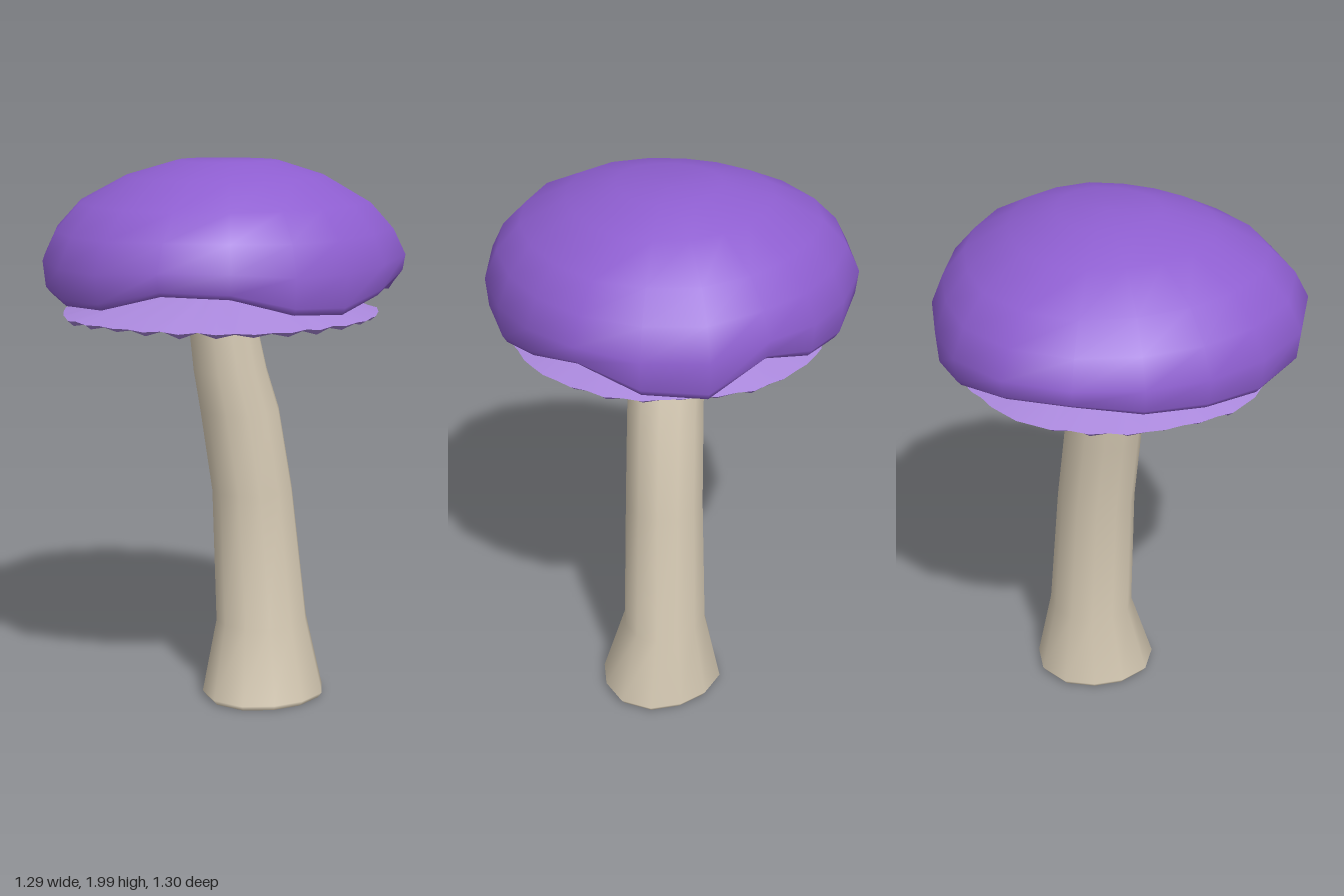
import * as THREE from 'three';

// Skin a list of rings; each ring is a function angle index -> [x, y, z].
// A ring listed twice gives a sharp edge.
function loft(rings, n) {
  const pos = [], index = [];
  for (const ring of rings) {
    for (let i = 0; i < n; i++) pos.push(...ring(i, (i / n) * Math.PI * 2));
  }
  for (let j = 0; j < rings.length - 1; j++) {
    for (let i = 0; i < n; i++) {
      const k = (i + 1) % n;
      const a = j * n + i, b = j * n + k, c = a + n, d = b + n;
      index.push(a, c, b, b, c, d);
    }
  }
  const geo = new THREE.BufferGeometry();
  geo.setAttribute('position', new THREE.Float32BufferAttribute(pos, 3));
  geo.setIndex(index);
  geo.computeVertexNormals();
  return geo;
}

function addPart(group, name, geometry, material) {
  const mesh = new THREE.Mesh(geometry, material);
  mesh.name = name;
  group.add(mesh);
}

function material(name, color) {
  const m = new THREE.MeshStandardMaterial({ color });
  m.name = name;
  return m;
}

// Domed cap: uneven outline and a wavy lower rim, every 20 degrees from +x towards +z
function capGeometry() {
  const radius = [0.64, 0.645, 0.62, 0.615, 0.635, 0.66, 0.69, 0.685, 0.66,
    0.65, 0.655, 0.68, 0.685, 0.66, 0.62, 0.61, 0.615, 0.64];
  const rim = [1.53, 1.61, 1.56, 1.515, 1.53, 1.59, 1.60, 1.54, 1.53,
    1.55, 1.57, 1.61, 1.60, 1.56, 1.515, 1.54, 1.605, 1.51];
  // [radius factor, height, how far the height follows the rim wave]
  const profile = [
    [0, 1.86, 0], [0.45, 1.82, 0], [0.75, 1.73, 0.1], [0.88, 1.63, 0.5], [0.92, 1.565, 1],
    [0.96, 1.555, 1], [0.985, 1.575, 0.9], [1, 1.66, 0.3],
    [0.93, 1.76, 0.1], [0.8, 1.855, 0], [0.55, 1.945, 0], [0.28, 1.998, 0], [0, 2, 0],
  ];
  const rings = profile.map(([f, y, w]) => (i, a) => [
    Math.cos(a) * radius[i] * f + 0.02 * (1 - f),
    y + (rim[i] - 1.56) * w,
    Math.sin(a) * radius[i] * f,
  ]);
  return loft(rings, radius.length);
}

// Shallow cone with a pleated underside
function gillGeometry() {
  const n = 56;
  // [radius, height, pleat depth]
  const profile = [
    [0, 1.465, 0], [0.16, 1.462, 0], [0.36, 1.458, 0.008], [0.545, 1.455, 0.012],
    [0.565, 1.465, 0.004], [0.565, 1.465, 0.004], [0.36, 1.525, 0], [0.16, 1.57, 0], [0, 1.595, 0],
  ];
  const rings = profile.map(([r, y, p]) => (i, a) => {
    const rr = r * (1 + 0.012 * Math.sin(5 * a) + 0.008 * Math.sin(9 * a + 1));
    return [
      -0.02 + Math.cos(a) * rr,
      y + p * (i % 2 ? 1 : -1) * (0.7 + 0.3 * Math.sin(7 * a)),
      0.01 + Math.sin(a) * rr,
    ];
  });
  return loft(rings, n);
}

// Leaning stem with a flared, slightly lobed foot
function stemGeometry() {
  // [height, centre x, centre z, radius x, radius z, lobe strength]
  const profile = [
    [0.01, 0.14, 0.015, 0, 0, 0],
    [0.01, 0.14, 0.015, 0.215, 0.21, 0.04],
    [0.01, 0.14, 0.015, 0.215, 0.21, 0.04],
    [0.03, 0.14, 0.015, 0.23, 0.225, 0.04],
    [0.3, 0.14, 0, 0.172, 0.153, 0.03],
    [0.8, 0.103, 0.005, 0.15, 0.142, 0.02],
    [1.1, 0.055, 0.008, 0.146, 0.139, 0.02],
    [1.25, 0.02, 0.009, 0.135, 0.137, 0.01],
    [1.46, -0.014, 0.01, 0.122, 0.135, 0],
    [1.54, -0.02, 0.01, 0.115, 0.125, 0],
    [1.54, -0.02, 0.01, 0, 0, 0],
  ];
  const rings = profile.map(([y, cx, cz, rx, rz, lobe]) => (i, a) => {
    const k = 1 + lobe * Math.sin(3 * a + 0.6);
    return [cx + Math.cos(a) * rx * k, y, cz + Math.sin(a) * rz * k];
  });
  return loft(rings, 12);
}

export function createModel() {
  const group = new THREE.Group();
  group.name = 'mushroom';
  addPart(group, 'cap', capGeometry(), material('purple', 0x8e5ed0));
  addPart(group, 'gills', gillGeometry(), material('lilac', 0xaa88dc));
  addPart(group, 'stem', stemGeometry(), material('cream', 0xd6cab4));
  return group;
}
